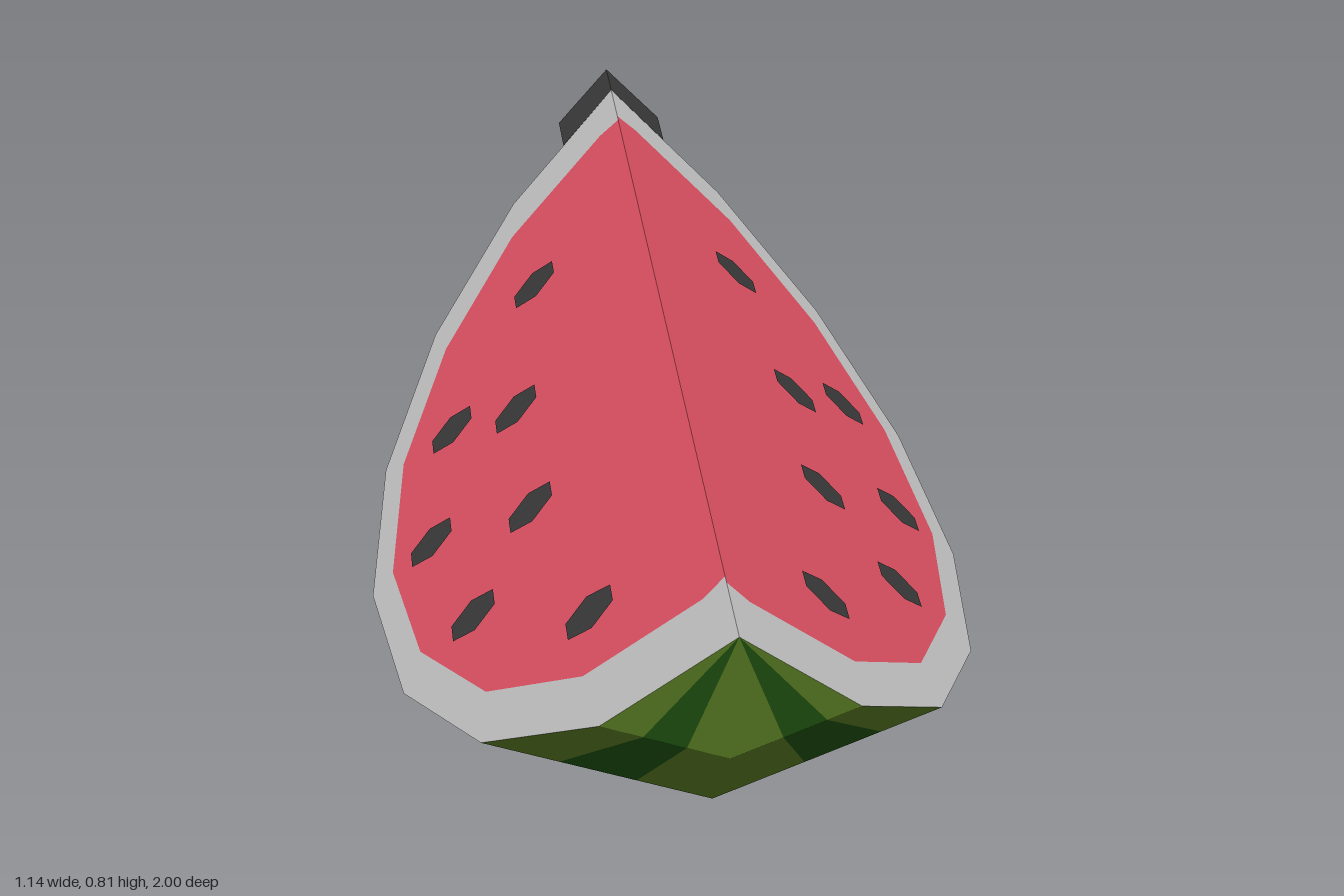
import * as THREE from 'three';

const TOP = 0.805;      // height of the straight top edge, also the melon radius
const HALF = 0.95;      // half length of the melon
const MID = 0.047;      // z of the widest ring
const C = TOP * Math.SQRT1_2;
const SEG = 8;

const paint = (color) => new THREE.MeshStandardMaterial({ color, flatShading: true, roughness: 1 });

function mesh(name, geometry, material) {
  const m = new THREE.Mesh(geometry, material);
  m.name = name;
  return m;
}

function fromTriangles(points) {
  const g = new THREE.BufferGeometry().setFromPoints(points);
  g.computeVertexNormals();
  return g;
}

// Point on the skin: ring i runs front to back, u runs across the wedge from -1 to 1
function skinPoint(i, u) {
  const a = (i / SEG) * Math.PI;
  const r = Math.sin(a);
  return new THREE.Vector3(C * u * r, TOP - r * (TOP - (TOP - C) * Math.abs(u)), MID + HALF * Math.cos(a));
}

// Lays a flat outline of (z, x) points on one of the two 45 degree cuts
function cutGeometry(outline, side, lift = 0) {
  const g = new THREE.ShapeGeometry(new THREE.Shape(outline));
  const p = g.attributes.position;
  for (let i = 0; i < p.count; i++) {
    const z = p.getX(i), x = p.getY(i);
    p.setXYZ(i, side * (x + lift), TOP - x + lift, z);
  }
  if (side < 0) g.setIndex(Array.from(g.index.array).reverse());
  g.computeVertexNormals();
  return g;
}

export function createModel() {
  const group = new THREE.Group();
  const grey = paint(0xcccccc);
  const red = paint(0xe85567);
  const black = paint(0x3c3c3c);

  // Skin: two flat facets across, split into light and dark stripes
  const bounds = [-1, -0.667, -0.333, 0, 0.404, 0.737, 1];
  const light = [], dark = [];
  for (let j = 0; j < bounds.length - 1; j++) {
    const list = j === 1 || j === 4 ? dark : light;
    for (let i = 0; i < SEG; i++) {
      const a = skinPoint(i, bounds[j]), b = skinPoint(i + 1, bounds[j]);
      const c = skinPoint(i, bounds[j + 1]), d = skinPoint(i + 1, bounds[j + 1]);
      if (i < SEG - 1) list.push(c, b, d);
      if (i > 0) list.push(a, b, c);
      else list[list.length - 3] = a;
    }
  }
  group.add(mesh('lightSkin', fromTriangles(light), paint(0x587a22)));
  group.add(mesh('darkStripes', fromTriangles(dark), paint(0x1e5010)));

  // Cut faces: grey rind border, red flesh, seeds
  const fleshOutline = [
    [-0.785, 0], [-0.79, 0.038], [-0.728, 0.23], [-0.55, 0.385], [-0.287, 0.49], [0.032, 0.528],
    [0.343, 0.49], [0.613, 0.385], [0.79, 0.23], [0.857, 0.038], [0.85, 0],
  ];
  const seeds = [
    [-0.465, 0.203], [-0.24, 0.39], [-0.115, 0.27], [0.053, 0.45],
    [0.217, 0.27], [0.373, 0.39], [0.637, 0.203],
  ];
  for (const side of [1, -1]) {
    const label = side > 0 ? 'left' : 'right';
    const stretch = side > 0 ? 1 : 0.98;
    const flesh = fleshOutline.map(([z, x]) => new THREE.Vector2(0.03 + (z - 0.03) * stretch, x));
    const rim = [];
    for (let i = 0; i <= SEG; i++) {
      const p = skinPoint(i, 1);
      rim.push(new THREE.Vector2(p.z, p.x));
    }
    group.add(mesh(label + 'Rind', cutGeometry([...rim, ...flesh], side), grey));
    group.add(mesh(label + 'Flesh', cutGeometry(flesh, side), red));

    const seedGroup = new THREE.Group();
    seedGroup.name = label + 'Seeds';
    for (const [z, x] of seeds) {
      const hexagon = [];
      for (let k = 0; k < 6; k++) {
        const a = (k / 6) * Math.PI * 2;
        hexagon.push(new THREE.Vector2(z + 0.045 * Math.cos(a), x + 0.045 * Math.sin(a)));
      }
      seedGroup.add(mesh('seed', cutGeometry(hexagon, side, 0.002), black));
    }
    group.add(seedGroup);
  }

  // Stem: a small wedge behind the back tip, cut by the same two planes
  const section = [[0, TOP], [0.106, 0.7], [0, 0.655], [-0.106, 0.7]];
  const near = [-0.903, -0.868, -0.868, -0.868];
  const far = [-1, -0.97, -0.963, -0.97];
  const ring = (zs) => section.map(([x, y], i) => new THREE.Vector3(x, y, zs[i]));
  const n = ring(near), f = ring(far), stem = [];
  for (let i = 0; i < 4; i++) {
    const j = (i + 1) % 4;
    stem.push(n[i], n[j], f[i], n[j], f[j], f[i]);
  }
  stem.push(f[0], f[1], f[2], f[0], f[2], f[3]);
  stem.push(n[0], n[2], n[1], n[0], n[3], n[2]);
  // Each loop above runs clockwise seen from the front, so turn the triangles outward
  for (let i = 0; i < stem.length; i += 3) {
    const centre = new THREE.Vector3(0, 0.715, -0.92);
    const normal = new THREE.Triangle(stem[i], stem[i + 1], stem[i + 2]).getNormal(new THREE.Vector3());
    if (normal.dot(stem[i].clone().sub(centre)) < 0) [stem[i + 1], stem[i + 2]] = [stem[i + 2], stem[i + 1]];
  }
  group.add(mesh('stem', fromTriangles(stem), black));

  return group;
}
